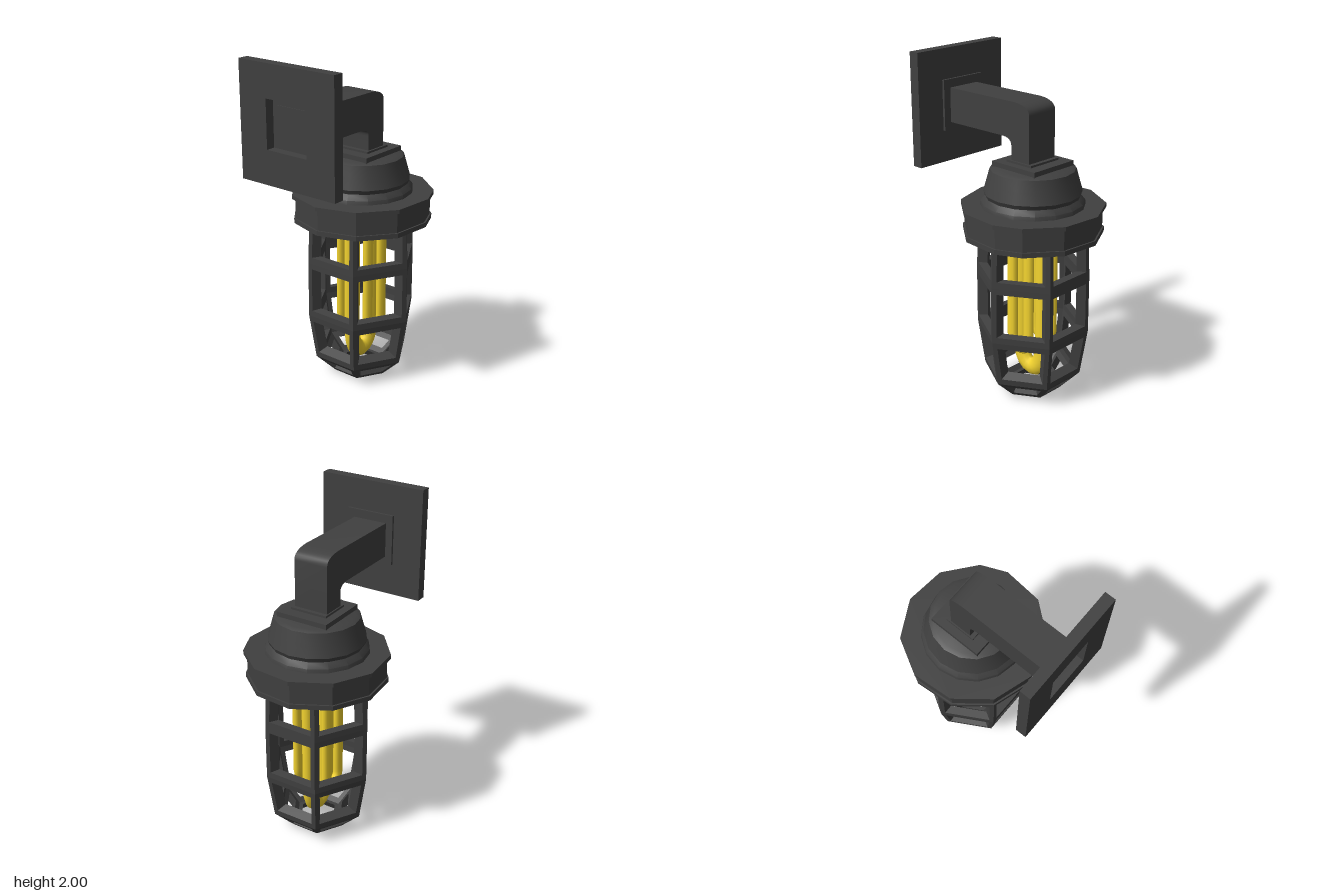
import * as THREE from 'three';
import { toCreasedNormals, mergeGeometries } from 'three/addons/utils/BufferGeometryUtils.js';

const AXIS_X = 0.11; // vertical axis of the lamp
const dark = new THREE.MeshStandardMaterial({ color: 0x404040 });
const darkOpen = new THREE.MeshStandardMaterial({ color: 0x404040, side: THREE.DoubleSide });
const yellow = new THREE.MeshStandardMaterial({ color: 0xf5d530 });

function add(parent, name, geometry, material = dark) {
  const mesh = new THREE.Mesh(geometry, material);
  mesh.name = name;
  parent.add(mesh);
  return mesh;
}

// Box given by its minimum and maximum corners
function box(x0, x1, y0, y1, z0, z1) {
  return new THREE.BoxGeometry(x1 - x0, y1 - y0, z1 - z0)
    .translate((x0 + x1) / 2, (y0 + y1) / 2, (z0 + z1) / 2);
}

// Slightly irregular eleven-sided disc
const RIM_ANGLES = [-78, -45, -11, 22, 55, 78, 112, 146, 180, 214, 248];
function rimDisc(radius, y0, y1) {
  const points = RIM_ANGLES.map((d) => {
    const a = THREE.MathUtils.degToRad(d);
    return new THREE.Vector2(radius * Math.cos(a), -radius * Math.sin(a));
  });
  return new THREE.ExtrudeGeometry(new THREE.Shape(points), { depth: y1 - y0, bevelEnabled: false })
    .rotateX(-Math.PI / 2).translate(0, y0, 0);
}

// Moves every corner of a polygon inwards along its two edges
function inset(corners, width) {
  const n = corners.length;
  return corners.map((p, i) => {
    const q = p.clone();
    for (const other of [corners[(i + 1) % n], corners[(i + n - 1) % n]]) {
      const edge = other.clone().sub(p).normalize();
      q.addScaledVector(edge, width(edge));
    }
    return q;
  });
}

// Thick picture frame: outer face, hole walls and inner face
function frame(outer, inner) {
  const width = (edge) => (Math.abs(edge.y) > 0.4 ? 0.037 : 0.027);
  const loops = [outer, inset(outer, width), inset(inner, width), inner];
  const n = outer.length;
  const pos = [];
  for (let k = 0; k < 3; k++) {
    for (let i = 0; i < n; i++) {
      const j = (i + 1) % n;
      const [a, b, c, d] = [loops[k][i], loops[k][j], loops[k + 1][j], loops[k + 1][i]];
      for (const p of [a, b, c, a, c, d]) pos.push(p.x, p.y, p.z);
    }
  }
  const g = new THREE.BufferGeometry();
  g.setAttribute('position', new THREE.Float32BufferAttribute(pos, 3));
  g.computeVertexNormals();
  return g;
}

// Six-sided cage made of mitred frames
function cageGeometry() {
  const outside = [[0.17, 0], [0.293, 0.12], [0.337, 0.405], [0.337, 0.75], [0.327, 1.005]];
  const inside = [[0.14, 0.05], [0.238, 0.15], [0.28, 0.412], [0.28, 0.75], [0.272, 1.005]];
  const at = ([r, y], k) => {
    const a = (k * Math.PI) / 3;
    return new THREE.Vector3(r * Math.sin(a), y, r * Math.cos(a));
  };
  const parts = [];
  for (let t = 0; t < 4; t++) {
    for (let k = 0; k < 6; k++) {
      const quad = (p) => [at(p[t], k), at(p[t], k + 1), at(p[t + 1], k + 1), at(p[t + 1], k)];
      parts.push(frame(quad(outside), quad(inside)));
    }
  }
  const hexagon = (p) => [5, 4, 3, 2, 1, 0].map((k) => at(p[0], k));
  parts.push(frame(hexagon(outside), hexagon(inside)));
  return mergeGeometries(parts);
}

// U-shaped glowing tube with a flattened section
function uTube(halfSpan, bendY, bottomY, radius, flatten, z) {
  const v = (x, y) => new THREE.Vector3(x, y, 0);
  const path = new THREE.CurvePath();
  const pull = bottomY + (bottomY - bendY) / 3; // handles that bring the arc down to bottomY
  path.add(new THREE.LineCurve3(v(-halfSpan, 1.01), v(-halfSpan, bendY)));
  path.add(new THREE.CubicBezierCurve3(v(-halfSpan, bendY), v(-halfSpan, pull), v(halfSpan, pull), v(halfSpan, bendY)));
  path.add(new THREE.LineCurve3(v(halfSpan, bendY), v(halfSpan, 1.01)));
  return new THREE.TubeGeometry(path, 60, radius, 10).scale(1, 1, flatten).translate(0, 0, z);
}

export function createModel() {
  const model = new THREE.Group();
  model.name = 'wallLamp';

  // Wall plate with a square recess in its back
  const plate = new THREE.Shape([[-0.33, 1.33], [0.33, 1.33], [0.33, 2], [-0.33, 2]].map((p) => new THREE.Vector2(...p)));
  plate.holes.push(new THREE.Path([[-0.14, 1.53], [-0.14, 1.81], [0.14, 1.81], [0.14, 1.53]].map((p) => new THREE.Vector2(...p))));
  const plateGeometry = new THREE.ExtrudeGeometry(plate, { depth: 0.065, bevelEnabled: false })
    .rotateY(Math.PI / 2).translate(-0.53, 0, 0);
  add(model, 'wallPlate', plateGeometry);
  add(model, 'wallPlateBoss', box(-0.475, -0.45, 1.52, 1.82, -0.15, 0.15));

  // Square arm that bends down to the lamp
  const arm = new THREE.Shape();
  arm.moveTo(-0.48, 1.565);
  arm.lineTo(-0.02, 1.565);
  arm.quadraticCurveTo(0.04, 1.56, 0.04, 1.52);
  arm.lineTo(0.04, 1.42);
  arm.lineTo(0.175, 1.42);
  arm.lineTo(0.175, 1.71);
  arm.quadraticCurveTo(0.175, 1.765, 0.06, 1.77);
  arm.lineTo(-0.48, 1.77);
  const armGeometry = new THREE.ExtrudeGeometry(arm, { depth: 0.21, bevelEnabled: false, curveSegments: 6 })
    .translate(0, 0, -0.107);
  add(model, 'arm', toCreasedNormals(armGeometry, 0.6));

  // Lamp body, built around its own vertical axis
  const lamp = new THREE.Group();
  lamp.name = 'lamp';
  lamp.position.x = AXIS_X;
  model.add(lamp);
  add(lamp, 'armFoot', box(-0.095, 0.09, 1.42, 1.437, -0.115, 0.115));
  add(lamp, 'domePlate', box(-0.165, 0.16, 1.38, 1.425, -0.162, 0.162));

  const profile = [[0, 1.397], [0.22, 1.397], [0.245, 1.385], [0.263, 1.32], [0.283, 1.25],
    [0.272, 1.225], [0.298, 1.195], [0.303, 1.165]].map((p) => new THREE.Vector2(...p)).reverse();
  add(lamp, 'dome', toCreasedNormals(new THREE.LatheGeometry(profile, 16), 0.6));

  add(lamp, 'upperRim', rimDisc(0.42, 1.148, 1.172));
  add(lamp, 'drum', rimDisc(0.4, 1.02, 1.15));
  add(lamp, 'lowerRim', rimDisc(0.41, 1.0, 1.028));

  // Protective cage
  add(lamp, 'cage', cageGeometry(), darkOpen);

  // One large tube between two smaller ones
  add(lamp, 'centreTube', uTube(0.088, 0.28, 0.128, 0.055, 0.73, 0), yellow);
  for (const side of [-1, 1]) {
    add(lamp, side > 0 ? 'frontTube' : 'backTube', uTube(0.064, 0.36, 0.29, 0.036, 0.7, side * 0.101), yellow);
  }
  return model;
}
